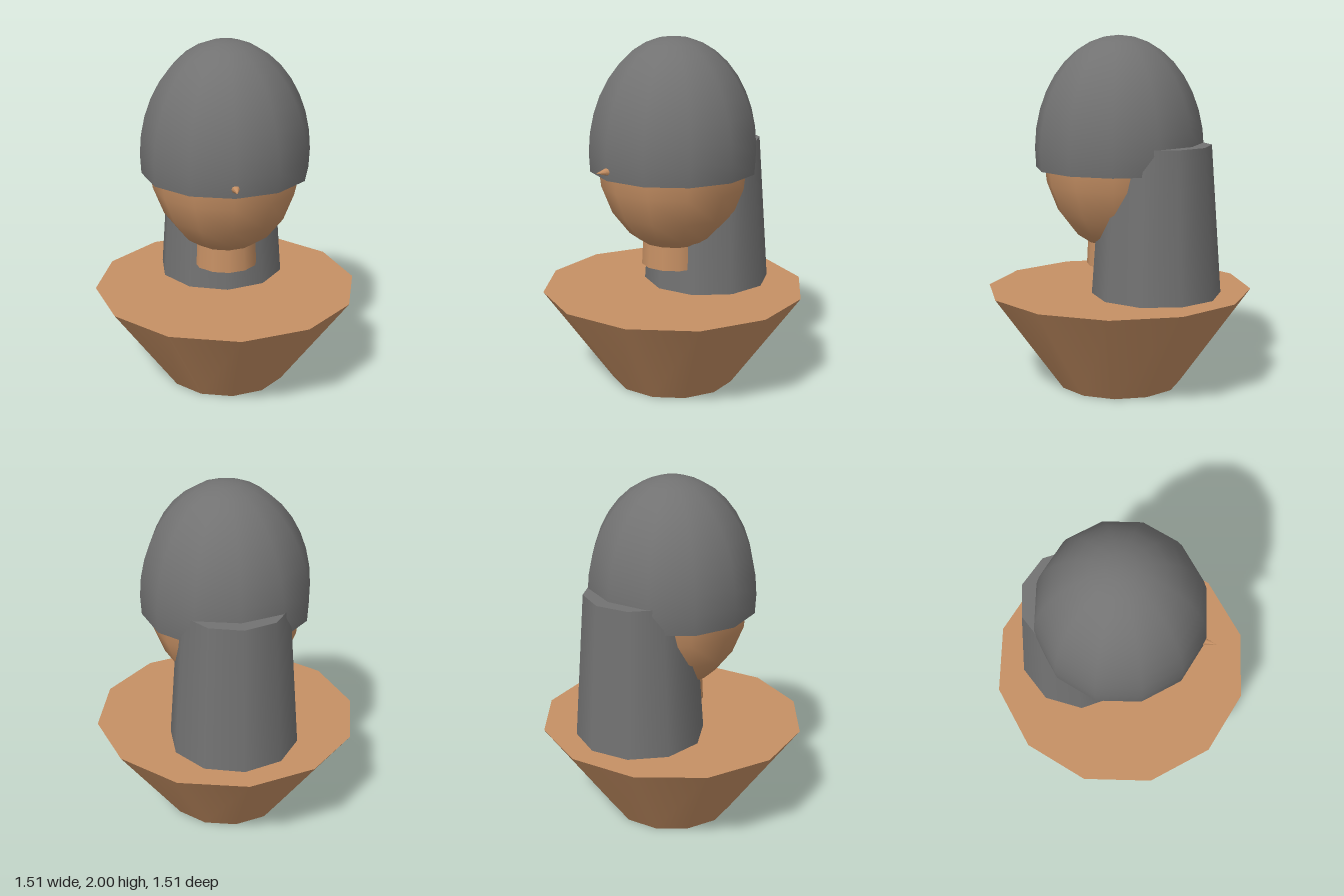
import * as THREE from 'three';

export function createModel() {
  const group = new THREE.Group();
  const skin = new THREE.MeshStandardMaterial({ color: 0xc69064 });
  skin.name = 'skin';
  const hair = new THREE.MeshStandardMaterial({ color: 0x727272, side: THREE.DoubleSide });
  hair.name = 'grey hair';

  const add = (name, geometry, material, x, y, z) => {
    const mesh = new THREE.Mesh(geometry, material);
    mesh.name = name;
    mesh.position.set(x, y, z);
    group.add(mesh);
    return mesh;
  };

  // Tapered shoulders, wide at the top
  add('shoulders', new THREE.CylinderGeometry(0.757, 0.355, 0.56, 12), skin, 0, 0.28, 0);

  // Short neck hanging just above the shoulders
  add('neck', new THREE.CylinderGeometry(0.17, 0.185, 0.3, 12), skin, 0, 0.85, 0);

  // Egg-shaped head
  const head = new THREE.SphereGeometry(1, 12, 10).scale(0.435, 0.56, 0.435);
  add('head', head, skin, 0, 1.34, 0);

  // Open dome of hair over the head
  const dome = new THREE.SphereGeometry(1, 12, 10, 0, Math.PI * 2, 0, Math.PI * 0.55);
  add('hairDome', dome.scale(0.48, 0.644, 0.48), hair, 0, 1.356, 0);

  // Long hair falling down the back
  add('backHair', new THREE.CylinderGeometry(0.305, 0.365, 0.84, 10), hair, 0, 0.98, -0.255);

  // Small pointed nose
  const nose = new THREE.ConeGeometry(0.03, 0.1, 8).rotateX(Math.PI / 2);
  add('nose', nose, skin, 0, 1.307, 0.495);

  return group;
}
